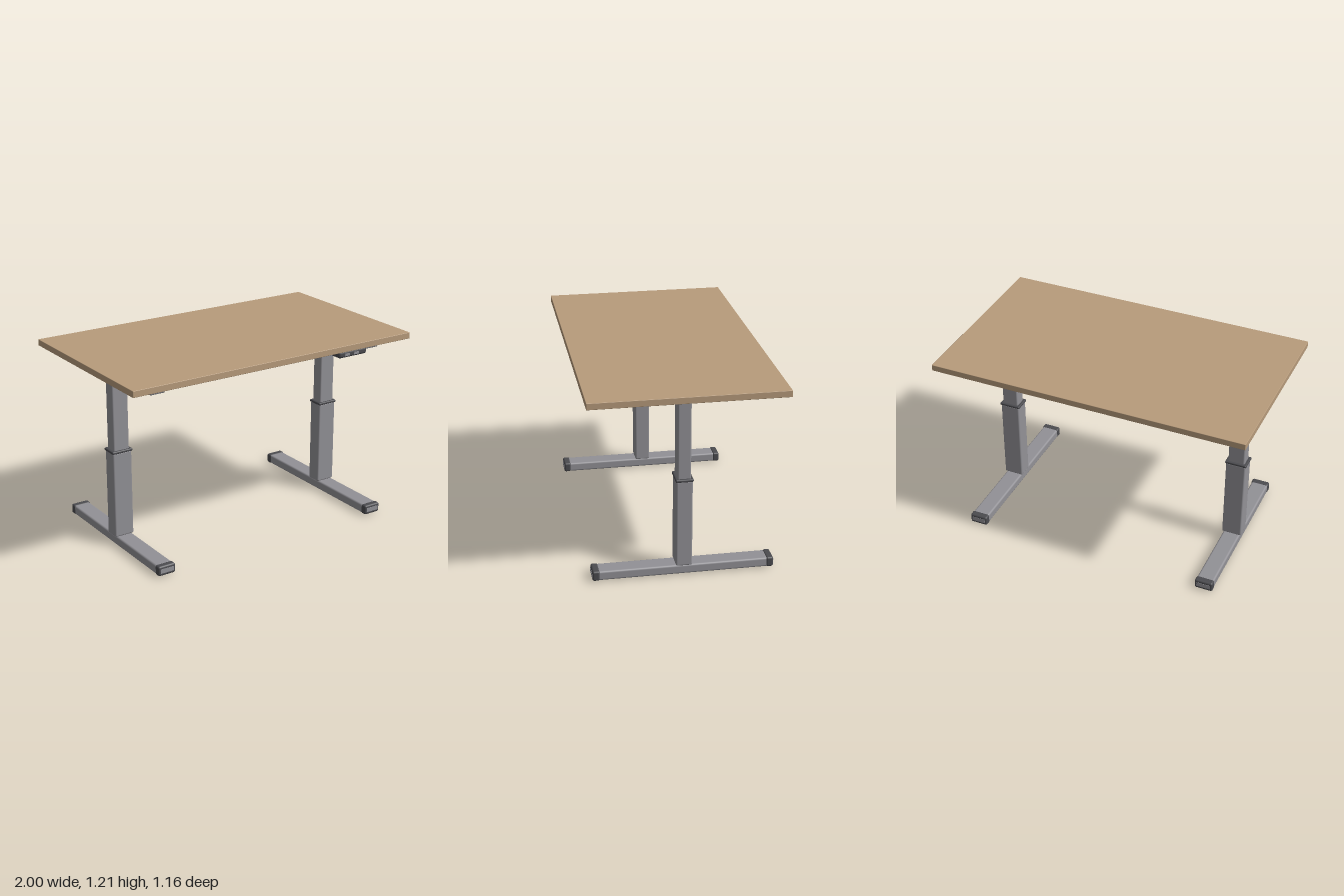
import * as THREE from 'three';
import { RoundedBoxGeometry } from 'three/addons/geometries/RoundedBoxGeometry.js';

const mat = (name, color) => {
  const m = new THREE.MeshStandardMaterial({ color });
  m.name = name;
  return m;
};

export function createModel() {
  const wood = mat('wood', 0xb79b7b);
  const steel = mat('greySteel', 0x929196);
  const plastic = mat('darkPlastic', 0x4b4b4f);
  const model = new THREE.Group();
  model.name = 'standingDesk';

  // Rounded block given by its limits on each axis
  function block(parent, name, material, [x0, x1], [y0, y1], [z0, z1], radius) {
    const geometry = new RoundedBoxGeometry(x1 - x0, y1 - y0, z1 - z0, 3, radius);
    const mesh = new THREE.Mesh(geometry, material);
    mesh.position.set((x0 + x1) / 2, (y0 + y1) / 2, (z0 + z1) / 2);
    mesh.name = name;
    parent.add(mesh);
    return mesh;
  }

  // Thin painted panel
  function panel(parent, name, material, x, y, z, w, h) {
    const mesh = new THREE.Mesh(new THREE.BoxGeometry(w, h, 0.006), material);
    mesh.position.set(x, y, z);
    mesh.name = name;
    parent.add(mesh);
  }

  block(model, 'tabletop', wood, [-1, 1], [1.165, 1.205], [-0.582, 0.582], 0.003);

  // Legs: foot, telescopic column and arm under the top
  for (const side of [-1, 1]) {
    const leg = new THREE.Group();
    leg.name = side > 0 ? 'leftLeg' : 'rightLeg';
    leg.position.x = side * 0.781;
    model.add(leg);

    block(leg, 'foot', steel, [-0.055, 0.055], [0.006, 0.065], [-0.515, 0.515], 0.012);
    block(leg, 'lowerColumn', steel, [-0.064, 0.064], [0.064, 0.618], [-0.049, 0.049], 0.01);
    block(leg, 'collar', plastic, [-0.069, 0.069], [0.612, 0.63], [-0.053, 0.053], 0.007);
    block(leg, 'upperColumn', steel, [-0.053, 0.053], [0.6, 1.118], [-0.04, 0.04], 0.009);
    block(leg, 'topArm', steel, [-0.05, 0.05], [1.114, 1.165], [-0.48, 0.48], 0.01);

    // Foot ends: cap, inset panel and floor pad
    for (const end of [-1, 1]) {
      const z = end * 0.527;
      block(leg, 'footCap', plastic, [-0.058, 0.058], [0.005, 0.068], [z - 0.022, z + 0.022], 0.012);
      panel(leg, 'capInset', steel, 0, 0.037, end * 0.548, 0.09, 0.028);
      const pad = new THREE.Mesh(new THREE.CylinderGeometry(0.027, 0.027, 0.01, 24), plastic);
      pad.position.set(0, 0.005, end * 0.48);
      pad.name = 'floorPad';
      leg.add(pad);
    }
  }

  // Crossbeam and motor control box
  block(model, 'crossbeam', steel, [-0.738, 0.738], [1.1, 1.165], [-0.122, -0.01], 0.01);
  block(model, 'controlBox', plastic, [-0.165, 0.165], [1.04, 1.125], [-0.165, 0.045], 0.014);

  // Handset with two buttons
  block(model, 'handset', plastic, [0.455, 0.67], [1.121, 1.165], [0.44, 0.565], 0.016);
  for (const x of [0.516, 0.586]) panel(model, 'handsetButton', steel, x, 1.141, 0.564, 0.036, 0.016);

  return model;
}
